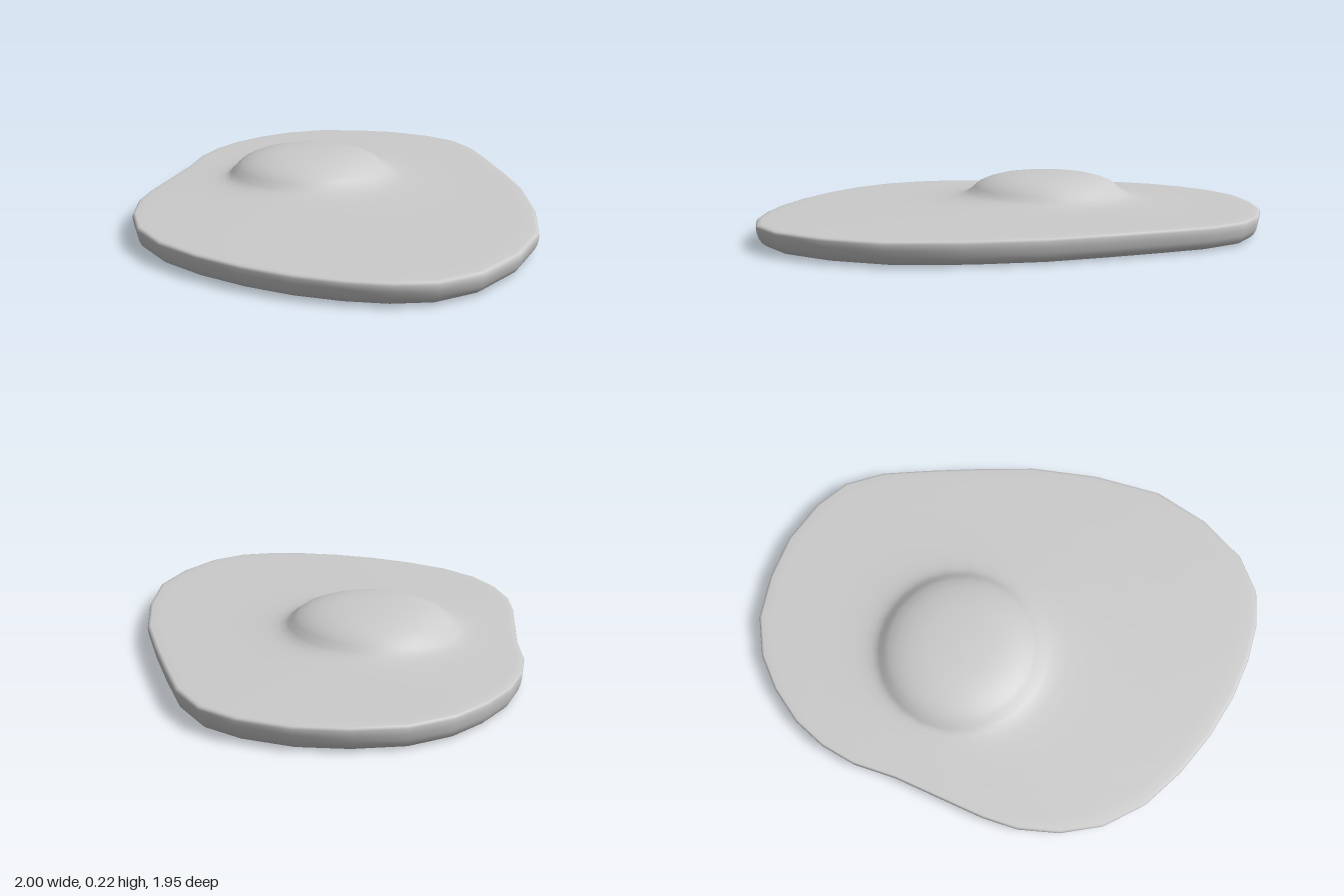
import * as THREE from 'three';

// rim outline seen from above, as [x, z]
const RIM = [
  [-0.24, -0.975], [-0.07, -0.92], [0.11, -0.81], [0.31, -0.68], [0.51, -0.54], [0.72, -0.34],
  [0.9, -0.11], [0.98, 0.12], [1, 0.35], [0.95, 0.52], [0.85, 0.64], [0.72, 0.74], [0.56, 0.83],
  [0.38, 0.9], [0.18, 0.95], [-0.02, 0.97], [-0.21, 0.94], [-0.37, 0.86], [-0.5, 0.75],
  [-0.59, 0.63], [-0.69, 0.46], [-0.79, 0.29], [-0.9, 0.14], [-0.965, 0], [-1, -0.15],
  [-1, -0.32], [-0.97, -0.48], [-0.89, -0.64], [-0.75, -0.78], [-0.59, -0.89], [-0.4, -0.96],
];
const CENTRE = new THREE.Vector2(-0.265, 0);
const YOLK_RADIUS = 0.345;

// dome rings: [radius, height]
const YOLK = [
  [0, 0.22], [0.08, 0.219], [0.15, 0.215], [0.21, 0.207], [0.26, 0.194],
  [0.3, 0.177], [0.325, 0.158], [YOLK_RADIUS, 0.139],
];
// top of the white: [blend from yolk edge to rim, height]
const WHITE_TOP = [
  [0.03, 0.128], [0.07, 0.119], [0.13, 0.113], [0.23, 0.108], [0.4, 0.104], [0.65, 0.101], [0.9, 0.099], [0.975, 0.097],
];
// side and underside: [scale of rim, height]
const WHITE_EDGE = [
  [0.995, 0.094], [1, 0.085], [0.998, 0.065], [0.992, 0.04], [0.982, 0.02], [0.968, 0.007],
  [0.945, 0.001], [0.88, 0], [0.45, 0], [0, 0],
];

export function createModel() {
  const spokes = RIM.map(([x, z]) => new THREE.Vector2(x, z).sub(CENTRE));
  const positions = [];
  const addRing = (reach, y) => {
    for (const s of spokes) {
      const k = reach(s.length()) / s.length();
      positions.push(CENTRE.x + s.x * k, y, CENTRE.y + s.y * k);
    }
  };
  YOLK.forEach(([r, y]) => addRing(() => r, y));
  WHITE_TOP.forEach(([t, y]) => addRing((rim) => THREE.MathUtils.lerp(YOLK_RADIUS, rim, t), y));
  WHITE_EDGE.forEach(([k, y]) => addRing((rim) => rim * k, y));

  // faces between consecutive rings
  const n = spokes.length;
  const band = (from, to) => {
    const index = [];
    for (let r = from; r < to; r++) {
      for (let i = 0; i < n; i++) {
        const a = r * n + i, b = r * n + ((i + 1) % n);
        if (r > 0) index.push(a, b, a + n);
        index.push(b, b + n, a + n);
      }
    }
    return index;
  };

  // smooth normals are shared, so the yolk flows into the white
  const seam = YOLK.length - 1;
  const last = positions.length / 3 / n - 1;
  const whole = new THREE.BufferGeometry();
  whole.setAttribute('position', new THREE.Float32BufferAttribute(positions, 3));
  whole.setIndex(band(0, last));
  whole.computeVertexNormals();

  const material = new THREE.MeshStandardMaterial({ color: 0xcccccc });
  const model = new THREE.Group();
  model.name = 'friedEgg';
  const addPart = (name, from, to) => {
    const geometry = whole.clone().setIndex(band(from, to));
    const mesh = new THREE.Mesh(geometry, material);
    mesh.name = name;
    model.add(mesh);
  };
  addPart('yolk', 0, seam);
  addPart('eggWhite', seam, last);
  return model;
}
